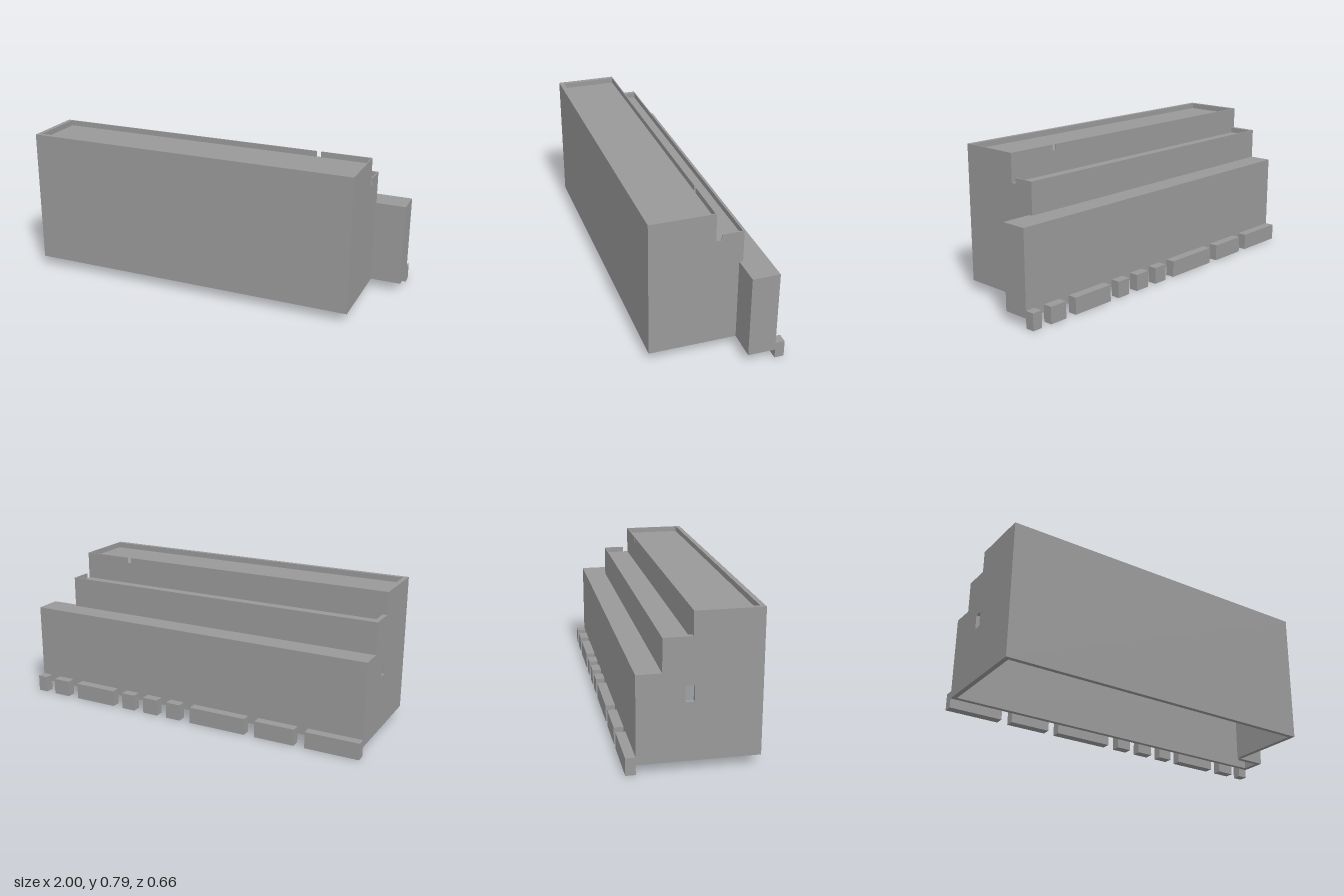
import * as THREE from 'three';

export function createModel() {
  const group = new THREE.Group();
  const grey = new THREE.MeshStandardMaterial({ color: 0x999999 });
  grey.name = 'grey';

  const add = (name, geometry) => {
    const mesh = new THREE.Mesh(geometry, grey);
    mesh.name = name;
    group.add(mesh);
  };
  // Box given by its limits on each axis
  const block = (name, x0, x1, y0, y1, z0, z1) => {
    const g = new THREE.BoxGeometry(x1 - x0, y1 - y0, z1 - z0);
    g.translate((x0 + x1) / 2, (y0 + y1) / 2, (z0 + z1) / 2);
    add(name, g);
  };
  // End wall from a [z, y] outline, with optional window outlines
  const endWall = (name, x1, thickness, outline, windows = []) => {
    const toPoints = (a) => a.map(([z, y]) => new THREE.Vector2(z, y));
    const shape = new THREE.Shape(toPoints(outline));
    windows.forEach((w) => shape.holes.push(new THREE.Path(toPoints(w))));
    const g = new THREE.ExtrudeGeometry(shape, { depth: thickness, bevelEnabled: false });
    g.rotateY(-Math.PI / 2).translate(x1, 0, 0);
    add(name, g);
  };

  const L = -1, R = 0.835, W = 0.025, thin = 0.006, base = 0.05;

  // Stepped shell, open underneath
  block('frontWall', L, R, base, 0.79, 0.33 - W, 0.33);
  endWall('rightEndWall', L + W, W,
    [[-0.28, base], [0.305, base], [0.305, 0.79], [-0.01, 0.79], [-0.01, 0.67],
      [-0.155, 0.67], [-0.155, 0.5], [-0.28, 0.5]],
    [[[-0.045, 0.35], [-0.045, 0.43], [0, 0.43], [0, 0.35]]]);
  endWall('leftEndWall', R, W,
    [[-0.135, base], [0.305, base], [0.305, 0.74], [-0.01, 0.74], [-0.01, 0.62],
      [-0.155, 0.62], [-0.155, 0.48], [-0.135, 0.48]]);
  block('upperStepWall', L + W, R, 0.64, 0.74, -0.01, 0.01);
  block('middleStepWall', L + W, R, 0.5, 0.62, -0.155, -0.135);
  block('backWall', L + W, 1 - W, base, 0.48, -0.28, -0.28 + W);

  // Roofs
  block('upperRoof', L + W, R, 0.74, 0.76, -0.01, 0.305);
  block('middleRoof', L + W, R, 0.62, 0.64, -0.155, 0.01);
  block('lowerRoof', L + W, R, 0.48, 0.5, -0.28, -0.135);

  // Thin parapets, with a drain slit at the back and a gap at the end
  block('upperBackParapet', L + W, 0.535, 0.76, 0.79, -0.01, -0.01 + thin);
  block('upperBackParapet', 0.56, R, 0.76, 0.79, -0.01, -0.01 + thin);
  block('upperEndParapet', R - thin, R, 0.76, 0.79, -0.01 + thin, 0.305);
  block('middleBackParapet', L + W, R, 0.64, 0.67, -0.155, -0.155 + thin);
  block('middleEndParapet', R - thin, R, 0.64, 0.67, -0.155 + thin, -0.04);

  // Narrow side extension
  block('extensionRoof', R, 1 - W, 0.48, 0.5, -0.28, -0.135);
  block('extensionEndWall', 1 - W, 1, base, 0.5, -0.28, -0.135);
  block('extensionFrontWall', R, 1 - W, base, 0.48, -0.135 - W, -0.135);

  // Row of low blocks along the back
  [[-1, -0.705], [-0.645, -0.42], [-0.36, -0.03], [0.035, 0.12], [0.18, 0.27],
    [0.33, 0.41], [0.47, 0.72], [0.785, 0.885], [0.945, 1]]
    .forEach(([x0, x1]) => block('backBlock', x0, x1, 0, 0.09, -0.33, -0.28));

  return group;
}
